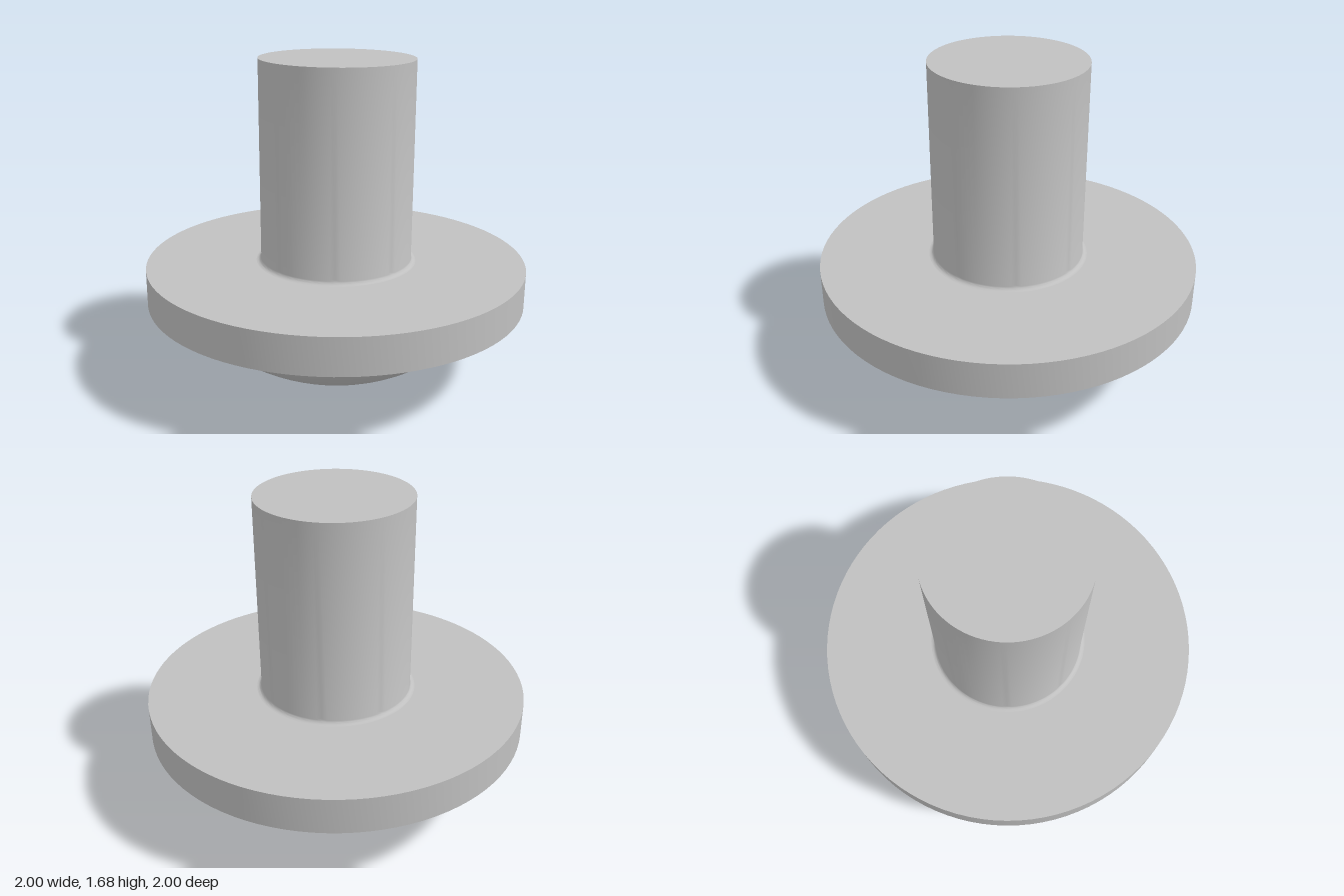
import * as THREE from 'three';
import { toCreasedNormals } from 'three/addons/utils/BufferGeometryUtils.js';

const BALL = 1.02, POLE = -0.015, SEAT = 0.425; // dome sphere radius, lowest point, underside of flange
const domeY = (r) => POLE + BALL - Math.sqrt(BALL * BALL - r * r);

// Cross outline with chamfered inner corners, as [x, z] points turning from x to z
function crossOutline(tip, half, chamfer, steps = 6) {
  const corners = [];
  for (let k = 0; k < 4; k++) {
    const a = k * Math.PI / 2 + Math.PI / 4 - 0.07;
    const c = Math.cos(a), s = Math.sin(a);
    for (const [u, v] of [[chamfer, -half], [tip, -half], [tip, half], [chamfer, half]]) {
      corners.push([u * c - v * s, u * s + v * c]);
    }
  }
  const out = [];
  corners.forEach(([x, z], i) => {
    const [nx, nz] = corners[(i + 1) % corners.length];
    for (let j = 0; j < steps; j++) {
      const t = j / steps;
      out.push([x + (nx - x) * t, z + (nz - z) * t]);
    }
  });
  return out;
}

// Skin closed rings of [x, y, z] points
function skin(rings) {
  const n = rings[0].length, index = [];
  for (let r = 0; r < rings.length - 1; r++) {
    for (let i = 0; i < n; i++) {
      const a = r * n + i, b = r * n + (i + 1) % n;
      index.push(a, a + n, b, b, a + n, b + n);
    }
  }
  const g = new THREE.BufferGeometry();
  g.setAttribute('position', new THREE.Float32BufferAttribute(rings.flat(2), 3));
  g.setIndex(index);
  g.computeVertexNormals();
  return g;
}

function lathe(profile) {
  const pts = profile.map(([x, y]) => new THREE.Vector2(x, y));
  return toCreasedNormals(new THREE.LatheGeometry(pts, 96), 0.5);
}

export function createModel() {
  const model = new THREE.Group();
  model.name = 'screw';
  const steel = new THREE.MeshStandardMaterial({ color: 0xc0c0c0 });
  steel.name = 'steel grey';

  const body = new THREE.Group();
  body.name = 'screwBody';
  const add = (name, geometry) => {
    const mesh = new THREE.Mesh(geometry, steel);
    mesh.name = name;
    body.add(mesh);
  };

  // Flat washer-like flange
  add('flange', lathe([[0.83, SEAT], [1, SEAT], [1, 0.615], [0.39, 0.615]]));

  // Plain shaft with a small fillet at its base
  const shaft = [];
  const f = 0.025;
  for (let i = 0; i <= 6; i++) {
    const a = i / 6 * Math.PI / 2;
    shaft.push([0.4 + f - f * Math.sin(a), 0.615 + f - f * Math.cos(a)]);
  }
  shaft.push([0.4, 1.68], [0, 1.68]);
  add('shaft', lathe(shaft));

  // Domed head, from the rim of the cross recess out to the flange
  const rim = crossOutline(0.36, 0.11, 0.15);
  const edge = Math.sqrt(BALL ** 2 - (BALL + POLE - SEAT) ** 2);
  const domeRings = [];
  for (let k = 0; k <= 12; k++) {
    domeRings.push(rim.map(([x, z]) => {
      const r0 = Math.hypot(x, z);
      const r = r0 + (edge - r0) * k / 12;
      return [x / r0 * r, domeY(r), z / r0 * r];
    }));
  }
  add('domedHead', skin(domeRings));

  // Tapered cross recess: floor and walls
  const floorY = 0.44;
  const floor = crossOutline(0.23, 0.09, 0.125).map(([x, z]) => [x, floorY, z]);
  const recess = skin([floor.map(() => [0, floorY, 0]), floor, domeRings[0]]);
  add('crossRecess', toCreasedNormals(recess, 0.3));

  // The screw leans very slightly to its left
  body.rotation.z = -0.0075;
  body.position.x = -0.004;
  model.add(body);
  return model;
}
